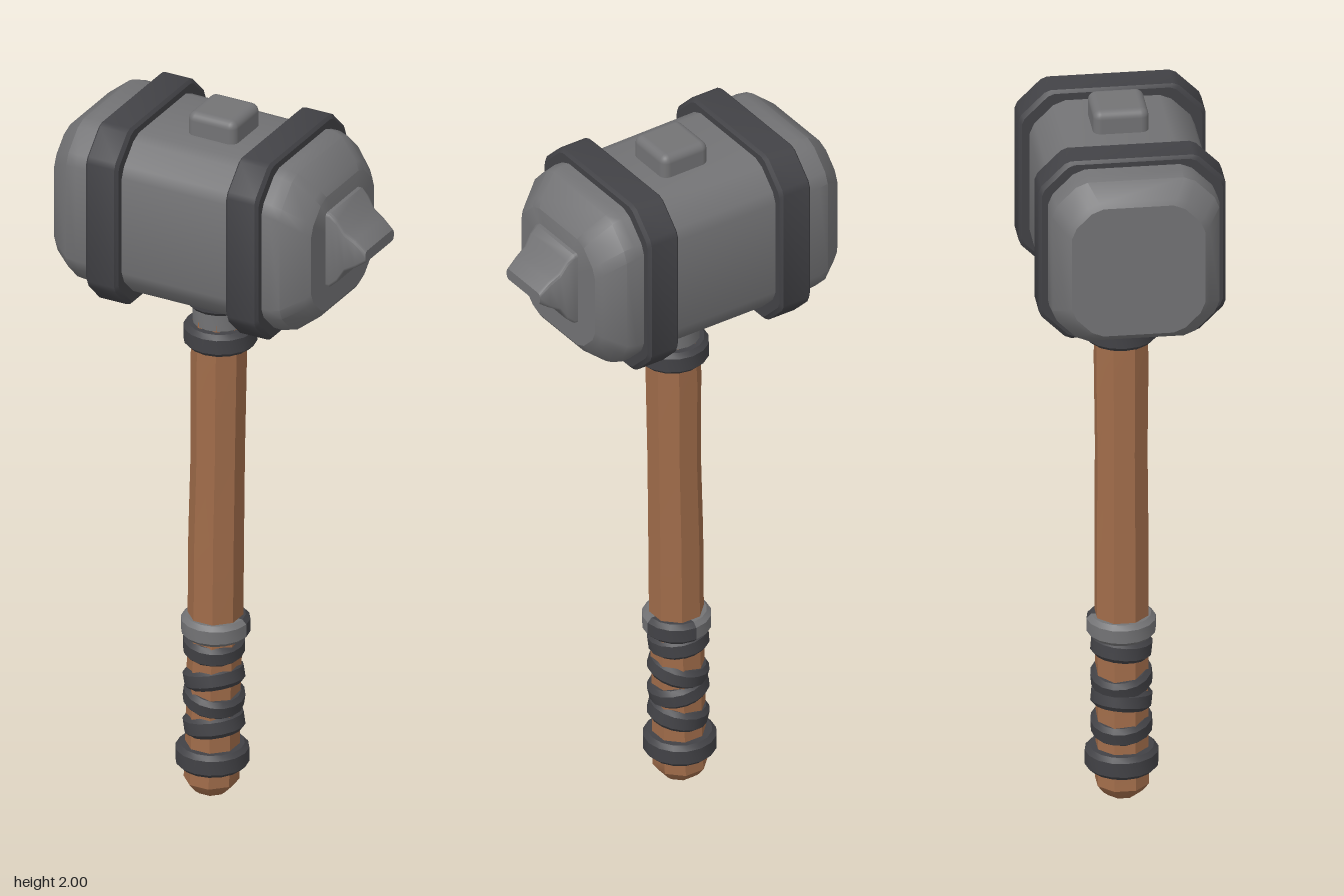
import * as THREE from 'three';
import { toCreasedNormals } from 'three/addons/utils/BufferGeometryUtils.js';
import { RoundedBoxGeometry } from 'three/addons/geometries/RoundedBoxGeometry.js';

// Skin a list of equal-length rings, each counter-clockwise about the travel axis, and cap both ends
function loft(rings, crease) {
  const n = rings[0].length, pos = [], idx = [];
  rings.forEach(ring => ring.forEach(p => pos.push(...p)));
  for (let k = 0; k < rings.length - 1; k++) {
    for (let i = 0; i < n; i++) {
      const j = (i + 1) % n, a = k * n, b = a + n;
      idx.push(a + i, a + j, b + j, a + i, b + j, b + i);
    }
  }
  [0, rings.length - 1].forEach((k, end) => {
    const centre = pos.length / 3;
    pos.push(...[0, 1, 2].map(c => rings[k].reduce((s, p) => s + p[c], 0) / n));
    for (let i = 0; i < n; i++) {
      const a = k * n + i, b = k * n + (i + 1) % n;
      idx.push(centre, end ? a : b, end ? b : a);
    }
  });
  const g = new THREE.BufferGeometry();
  g.setAttribute('position', new THREE.Float32BufferAttribute(pos, 3));
  g.setIndex(idx);
  return toCreasedNormals(g, crease);
}

// Block cross-section at x: a rectangle with softened corner chamfers
function section(x, cy, hy, hz, c, s = 0.018) {
  const corner = [
    [hy, hz - c - s], [hy - 0.7 * s, hz - c + 0.7 * s],
    [hy - c + 0.7 * s, hz - 0.7 * s], [hy - c - s, hz],
  ];
  const back = [...corner].reverse();
  return [
    ...corner,
    ...back.map(([y, z]) => [-y, z]),
    ...corner.map(([y, z]) => [-y, -z]),
    ...back.map(([y, z]) => [y, -z]),
  ].map(([y, z]) => [x, cy + y, z]);
}

export function createModel() {
  const model = new THREE.Group();
  const material = (name, color) => {
    const m = new THREE.MeshStandardMaterial({ color });
    m.name = name;
    return m;
  };
  const stone = material('stone', 0x737375);
  const iron = material('darkIron', 0x424246);
  const wood = material('wood', 0xa06c4a);

  const add = (name, geometry, mat, x = 0, y = 0, z = 0) => {
    const mesh = new THREE.Mesh(geometry, mat);
    mesh.name = name;
    mesh.position.set(x, y, z);
    model.add(mesh);
    return mesh;
  };

  // Stone head with bevelled ends and slightly uneven sides
  add('head', loft([
    section(-0.435, 1.703, 0.185, 0.175, 0.065),
    section(-0.425, 1.704, 0.196, 0.187, 0.068),
    section(-0.375, 1.708, 0.23, 0.219, 0.075),
    section(-0.345, 1.709, 0.235, 0.223, 0.08),
    section(-0.2, 1.707, 0.231, 0.219, 0.075),
    section(0.1, 1.705, 0.231, 0.217, 0.075),
    section(0.23, 1.705, 0.234, 0.223, 0.08),
    section(0.258, 1.704, 0.228, 0.218, 0.08),
    section(0.312, 1.7, 0.184, 0.184, 0.07),
    section(0.325, 1.699, 0.165, 0.17, 0.065),
  ], 0.55), stone);

  // Iron bands around the head
  [['rightBand', -0.258], ['leftBand', 0.158]].forEach(([name, x]) => {
    add(name, loft([[-0.048, 0.008], [-0.04, 0], [0.04, 0], [0.048, 0.008]].map(
      ([dx, inset]) => section(x + dx, 1.707, 0.257 - inset, 0.245 - inset, 0.075, 0.01)), 0.5), iron);
  });

  // Blunt wedge on the left end: [x, centre y, half height, half depth]
  add('spike', loft([
    [0.3, 1.71, 0.11, 0.092],
    [0.335, 1.711, 0.107, 0.092],
    [0.355, 1.712, 0.09, 0.088],
    [0.375, 1.713, 0.058, 0.084],
    [0.405, 1.712, 0.04, 0.08],
    [0.435, 1.71, 0.016, 0.077],
  ].map(([x, y, hy, hz]) => section(x, y, hy, hz, 0.006, 0.004)), 0.7), stone);

  // Handle tenon showing above the head
  add('topPeg', new RoundedBoxGeometry(0.144, 0.12, 0.146, 3, 0.022), stone, -0.029, 1.94, -0.002);

  // Eight-sided wooden handle, leaning slightly and rounded at the butt: [y, centre x, radius]
  add('handle', loft([
    [0, -0.062, 0.04], [0.012, -0.062, 0.055], [0.035, -0.062, 0.073], [0.075, -0.06, 0.072],
    [0.3, -0.056, 0.071], [0.52, -0.05, 0.073], [0.75, -0.048, 0.073],
    [1.0, -0.043, 0.071], [1.25, -0.041, 0.074], [1.45, -0.036, 0.07],
  ].map(([y, cx, r]) => Array.from({ length: 8 }, (_, i) => {
    const a = (i + 0.5) * Math.PI / 4;
    return [cx + r * Math.cos(a), y, 0.004 - r * Math.sin(a)];
  })), 0.6), wood);

  // Bevelled ring around the handle, optionally only an arc of it
  const ring = (name, mat, x, y, h, r, start = 0, arc = Math.PI * 2) => {
    const b = 0.012;
    const profile = [
      [0.04, -h / 2], [r - b, -h / 2], [r, b - h / 2],
      [r, h / 2 - b], [r - b, h / 2], [0.04, h / 2],
    ].map(p => new THREE.Vector2(...p));
    const segments = Math.round(16 * arc / (Math.PI * 2));
    return add(name, toCreasedNormals(new THREE.LatheGeometry(profile, segments, start, arc), 0.6),
      mat, x, y, 0.003);
  };
  ring('headCollar', iron, -0.036, 1.455, 0.05, 0.092);
  ring('neck', stone, -0.037, 1.405, 0.075, 0.072);
  ring('neckRing', iron, -0.036, 1.345, 0.064, 0.097);
  ring('buttRing', iron, -0.06, 0.108, 0.064, 0.097);

  // Upper grip ring, pale with one dark quarter at the back left
  ring('gripRingPale', stone, -0.05, 0.488, 0.06, 0.091, Math.PI, Math.PI * 1.5);
  ring('gripRingDark', iron, -0.05, 0.488, 0.06, 0.091, Math.PI / 2, Math.PI / 2);

  // Crossing grip straps: [y, height, tilt about z, tilt about x]
  [
    [0.428, 0.058, -0.08, 0.1],
    [0.338, 0.056, 0.24, -0.12],
    [0.278, 0.056, -0.2, 0.12],
    [0.202, 0.058, 0.2, -0.08],
  ].forEach(([y, h, tiltZ, tiltX], i) => {
    ring('gripStrap' + (i + 1), iron, -0.055, y, h, 0.081).rotation.set(tiltX, 0, tiltZ);
  });

  return model;
}
